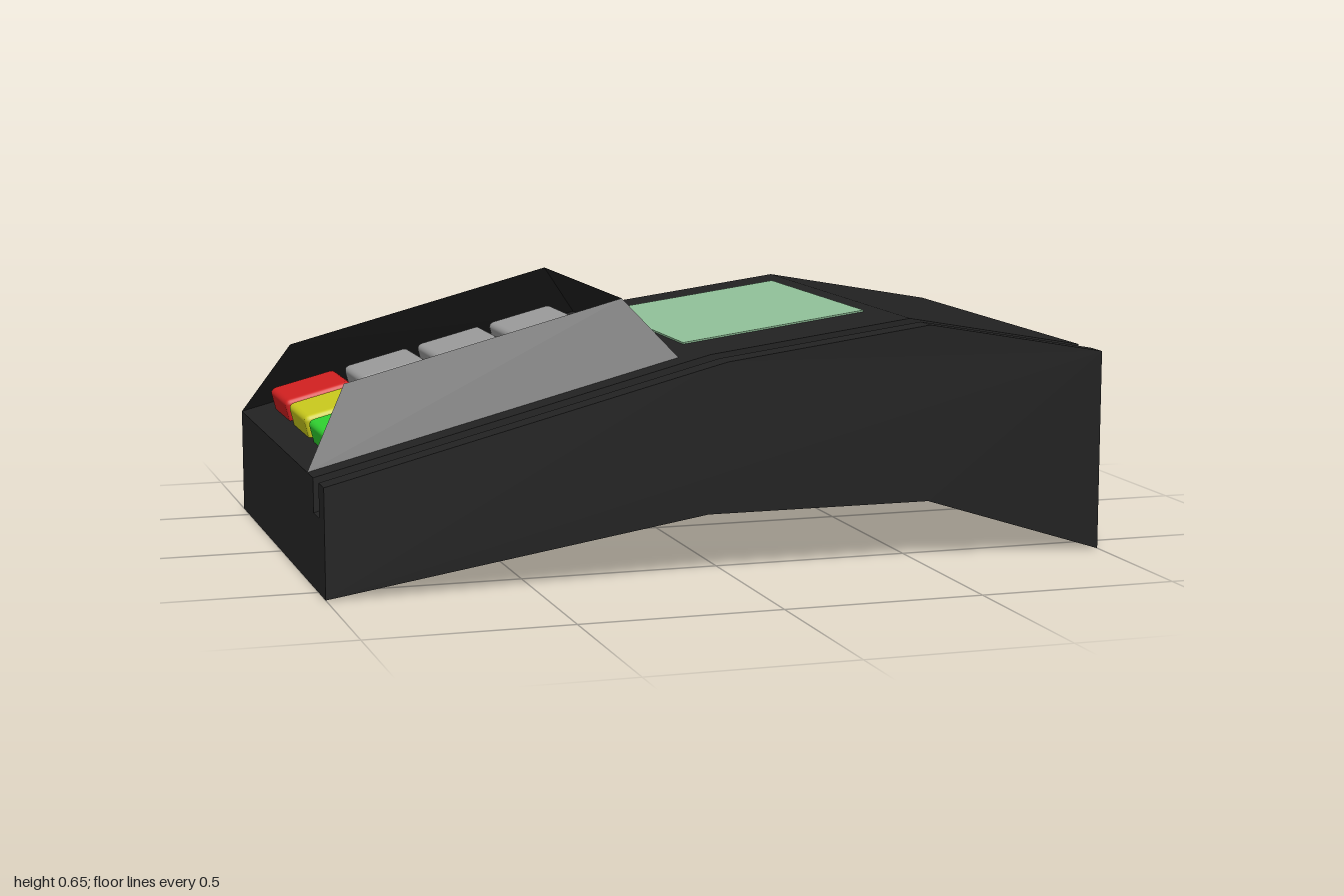
import * as THREE from 'three';
import { RoundedBoxGeometry } from 'three/addons/geometries/RoundedBoxGeometry.js';

const mat = (color, side = THREE.FrontSide) => new THREE.MeshStandardMaterial({ color, side });
const black = mat(0x222222);
const SLOPE = Math.atan2(0.24, 0.94); // tilt of the keypad deck
const deckY = x => 0.27 + (x + 1) * 0.24 / 0.94;

// Side profile extruded from z0 to z1, with its top lowered by drop
function slab(name, z0, z1, drop = 0) {
  const top = [[1, 0.51], [0.53, 0.595], [0, 0.525], [-0.06, 0.51], [-1, 0.27]];
  const bottom = [[-1, 0], [-0.05, 0.15], [0.53, 0.15], [1, 0]];
  const pts = [...bottom, ...top.map(([x, y]) => [x, y - drop])];
  const shape = new THREE.Shape(pts.map(p => new THREE.Vector2(...p)));
  const geo = new THREE.ExtrudeGeometry(shape, { depth: z1 - z0, bevelEnabled: false });
  geo.translate(0, 0, z0);
  const mesh = new THREE.Mesh(geo, black);
  mesh.name = name;
  return mesh;
}

// Thin sloping shield around three sides of the keypad, open at the low end
function keypadShield() {
  const ring = (x0, y0, x1, y1, z0, z1) => [[x0, y0, z0], [x1, y1, z0], [x1, y1, z1], [x0, y0, z1]];
  const base = ring(-1, 0.27, -0.06, 0.51, -0.59, 0.38);
  const rim = ring(-0.885, 0.465, -0.175, 0.65, -0.47, 0.27);
  const pos = [];
  for (let i = 0; i < 3; i++) {
    const [a, b, c, d] = [base[i + 1], base[i], rim[i], rim[i + 1]];
    pos.push(...a, ...b, ...c, ...a, ...c, ...d);
  }
  const geo = new THREE.BufferGeometry();
  geo.setAttribute('position', new THREE.Float32BufferAttribute(pos, 3));
  geo.computeVertexNormals();
  const mesh = new THREE.Mesh(geo, mat(0x222222, THREE.DoubleSide));
  mesh.name = 'keypadShield';
  return mesh;
}

export function createModel() {
  const model = new THREE.Group();
  model.name = 'cardTerminal';

  // Body with the card slot running along the front
  model.add(
    slab('body', -0.59, 0.455),
    slab('slotFloor', 0.455, 0.525, 0.085),
    slab('slotWall', 0.525, 0.59),
    keypadShield()
  );

  // Keys: the first column is coloured, the rest grey
  const keys = new THREE.Group();
  keys.name = 'keypad';
  const keyGeo = new RoundedBoxGeometry(0.185, 0.09, 0.235, 2, 0.015);
  const grey = mat(0x999999);
  const rows = [['cancelKey', 0xd02020], ['clearKey', 0xc8c81c], ['enterKey', 0x30d030]];
  rows.forEach(([name, color], r) => {
    for (let c = 0; c < 4; c++) {
      const x = -0.838 + c * 0.2025;
      const key = new THREE.Mesh(keyGeo, c ? grey : mat(color));
      key.name = c ? 'numberKey' : name;
      key.position.set(x, deckY(x) + 0.012, -0.383 + r * 0.277);
      key.rotation.z = SLOPE;
      keys.add(key);
    }
  });
  model.add(keys);

  // Display lying on the upper deck
  const screen = new THREE.Mesh(new THREE.BoxGeometry(0.495, 0.008, 0.705), mat(0x90c098));
  screen.name = 'screen';
  screen.position.set(0.24, 0.525 + 0.24 * 0.07 / 0.53, -0.103);
  screen.rotation.z = Math.atan2(0.07, 0.53);
  model.add(screen);

  return model;
}
